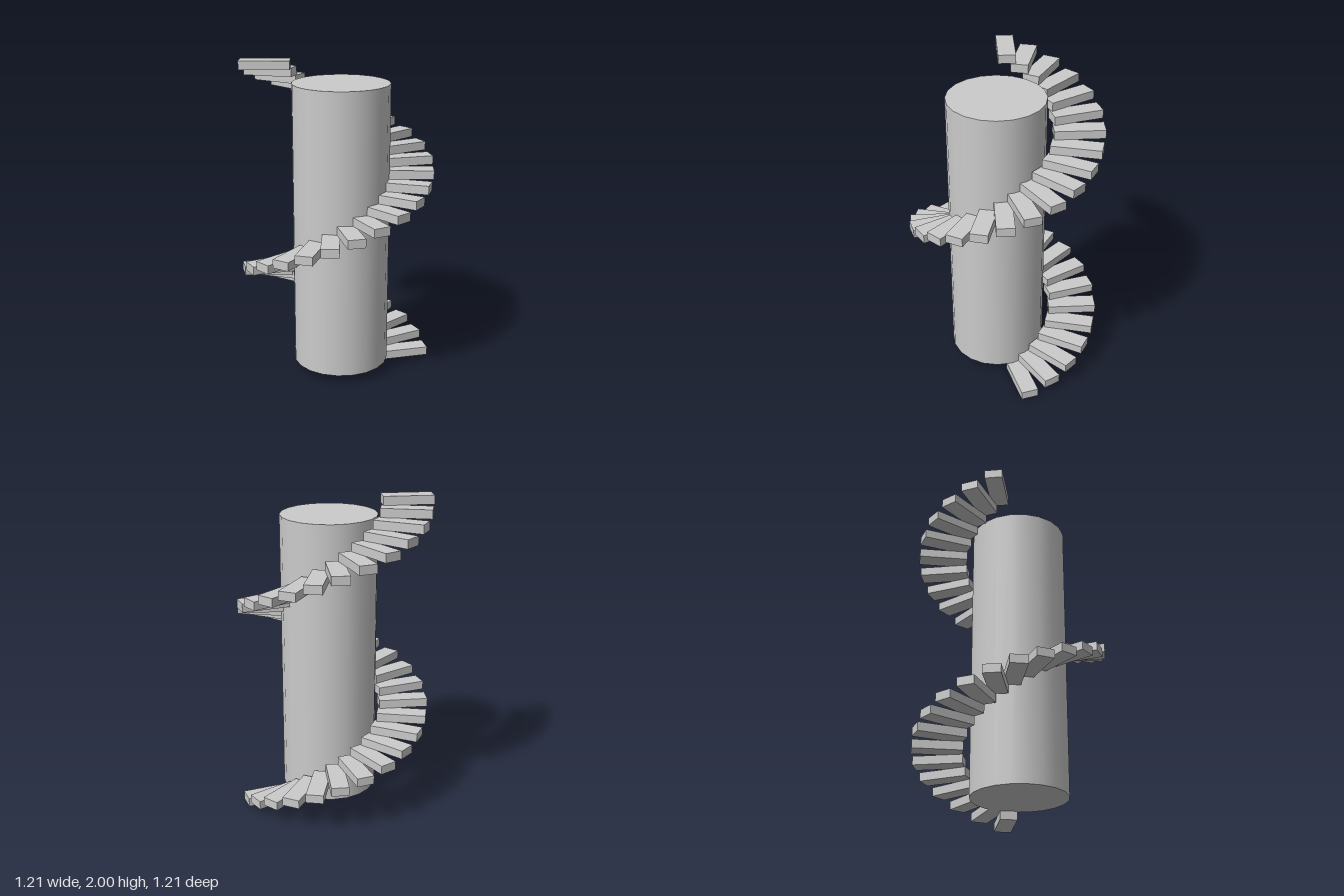
import * as THREE from 'three';

export function createModel() {
  const model = new THREE.Group();
  const material = new THREE.MeshStandardMaterial({ color: 0xcccccc });

  // Central column, slightly off the axis of the stair
  const column = new THREE.Mesh(new THREE.CylinderGeometry(0.304, 0.304, 1.82, 20), material);
  column.name = 'column';
  column.position.set(0.008, 0.965, 0.055);
  model.add(column);

  // Spiral of box treads: one and a half turns, 24 treads per turn
  const count = 36;
  const rise = 2 / count;
  const treadGeometry = new THREE.BoxGeometry(0.314, rise, 0.111);
  treadGeometry.translate(0.446, rise / 2, 0.03);
  const stairs = new THREE.Group();
  stairs.name = 'stairs';
  stairs.position.set(-0.002, 0, -0.002);
  for (let i = 0; i < count; i++) {
    const tread = new THREE.Mesh(treadGeometry, material);
    tread.name = `tread${i + 1}`;
    tread.position.y = i * rise;
    tread.rotation.y = (i * Math.PI) / 12;
    stairs.add(tread);
  }
  model.add(stairs);
  return model;
}
